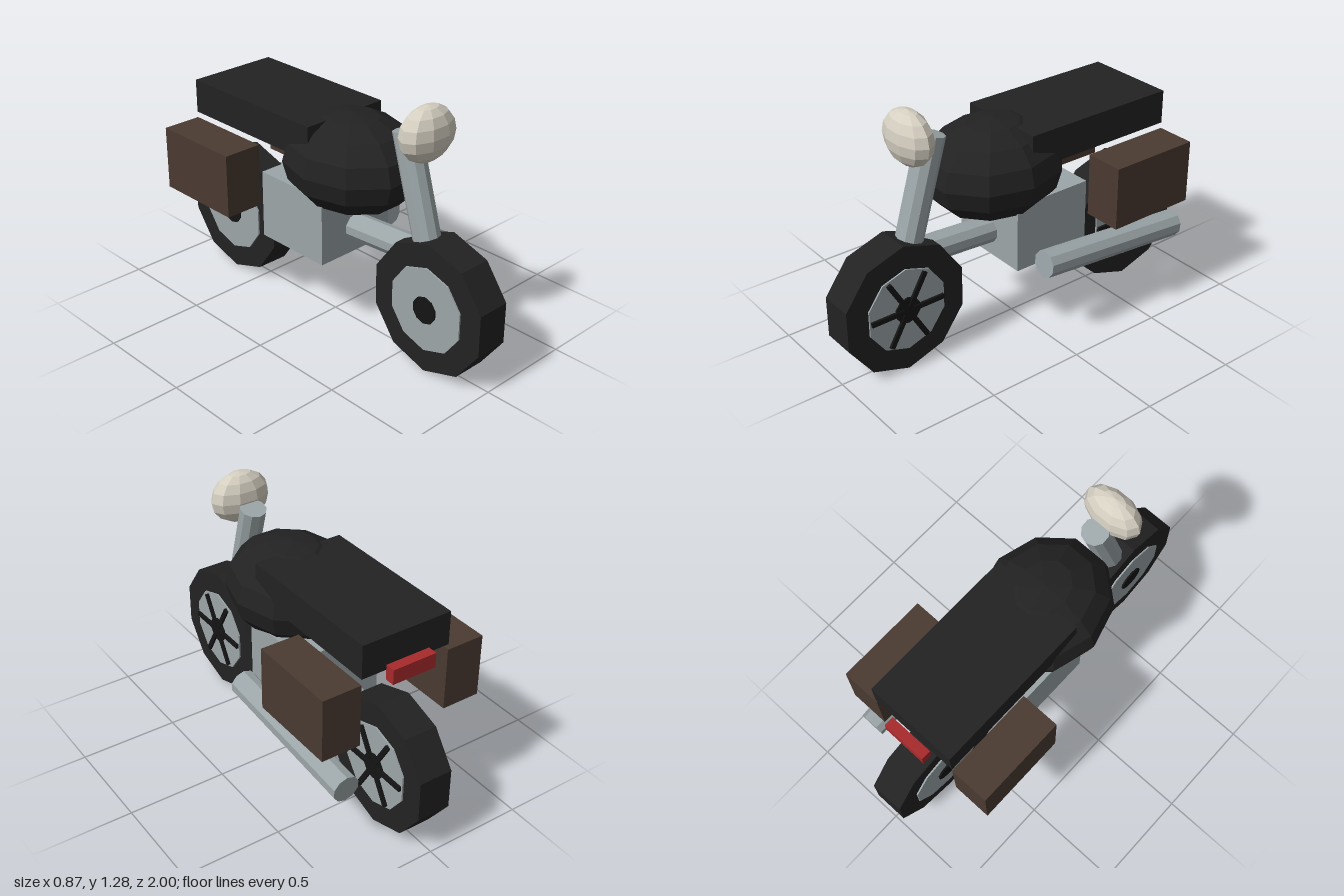
import * as THREE from 'three';

const mat = (name, color) => {
  const m = new THREE.MeshStandardMaterial({ color, flatShading: true });
  m.name = name;
  return m;
};

export function createModel() {
  const black = mat('black', 0x222222);
  const darkBlack = mat('spokeBlack', 0x141414);
  const steel = mat('steel', 0x9ca6a8);
  const brown = mat('brownLeather', 0x4a3a32);
  const cream = mat('lampCream', 0xd6d0c2);
  const red = mat('tailRed', 0xa82a2c);

  const model = new THREE.Group();
  model.name = 'motorcycle';

  const add = (parent, name, geometry, material, x = 0, y = 0, z = 0) => {
    const m = new THREE.Mesh(geometry, material);
    m.name = name;
    m.position.set(x, y, z);
    parent.add(m);
    return m;
  };

  // box given by its centre and size
  const box = (parent, name, material, [x, y, z], [w, h, d]) =>
    add(parent, name, new THREE.BoxGeometry(w, h, d), material, x, y, z);

  // ten-sided tube between two points
  const rod = (name, material, from, to, radius) => {
    const a = new THREE.Vector3(...from);
    const dir = new THREE.Vector3(...to).sub(a);
    const m = add(model, name, new THREE.CylinderGeometry(radius, radius, dir.length(), 10), material);
    m.position.copy(a).addScaledVector(dir, 0.5);
    m.quaternion.setFromUnitVectors(new THREE.Vector3(0, 1, 0), dir.normalize());
    return m;
  };

  const ball = (name, material, [x, y, z], [rx, ry, rz]) =>
    add(model, name, new THREE.SphereGeometry(1, 10, 8), material, x, y, z).scale.set(rx, ry, rz);

  // ten-sided disc across x with a corner at the top
  const disc = (radius, width) =>
    new THREE.CylinderGeometry(radius, radius, width, 10).rotateY(Math.PI / 2).rotateZ(Math.PI / 2);

  const axleY = 0.333, axleZ = 0.683;

  // wheels: tyre, rim, hub and three crossing spoke bars on the left side
  for (const [name, z] of [['frontWheel', axleZ], ['rearWheel', -axleZ]]) {
    const wheel = new THREE.Group();
    wheel.name = name;
    wheel.position.set(0, axleY, z);
    add(wheel, 'tyre', disc(0.333, 0.172), black);
    add(wheel, 'rim', disc(0.215, 0.188), steel);
    add(wheel, 'hub', disc(0.068, 0.204), darkBlack);
    for (let i = 0; i < 3; i++) {
      box(wheel, 'spokes', darkBlack, [0.098, 0, 0], [0.018, 0.025, 0.395]).rotation.x = i * Math.PI / 3;
    }
    model.add(wheel);
  }

  // fork, frame and exhaust
  rod('fork', steel, [0, axleY, axleZ], [0, 1.125, 0.453], 0.067);
  rod('frameTube', steel, [0, 0.552, 0.6], [0, 0.483, -0.5], 0.067);
  rod('exhaust', steel, [0.323, 0.448, 0.062], [0.323, 0.373, -0.782], 0.068);

  // body
  box(model, 'engine', steel, [0, 0.563, -0.07], [0.444, 0.346, 0.42]);
  ball('fuelTank', black, [0, 0.862, 0.113], [0.31, 0.245, 0.362]);
  box(model, 'seat', black, [0, 0.995, -0.345], [0.472, 0.17, 0.82]);

  // luggage on both sides
  for (const s of [1, -1]) {
    box(model, s > 0 ? 'leftBag' : 'rightBag', brown, [s * 0.335, 0.72, -0.52], [0.2, 0.32, 0.47]);
  }

  // lights
  ball('headlamp', cream, [0, 1.143, 0.575], [0.161, 0.133, 0.09]);
  box(model, 'tailLight', red, [0, 0.907, -0.79], [0.23, 0.075, 0.05]);

  return model;
}
